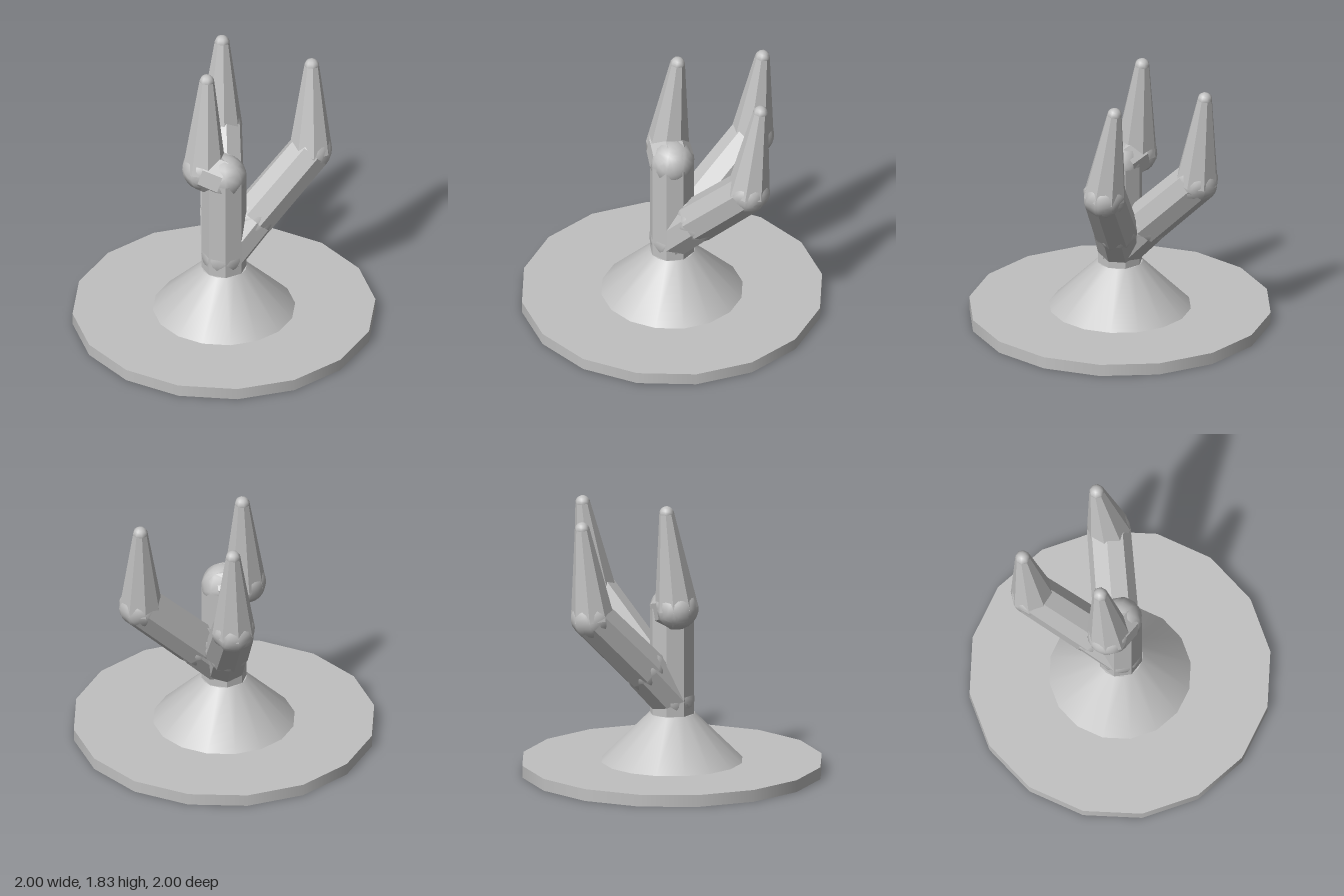
import * as THREE from 'three';
import { toCreasedNormals } from 'three/addons/utils/BufferGeometryUtils.js';

const SIDES = 8;

export function createModel() {
  const model = new THREE.Group();
  model.name = 'clawStand';
  const grey = new THREE.MeshStandardMaterial({ color: 0xc0c0c0 });
  grey.name = 'grey';

  const add = (parent, name, geometry) => {
    const mesh = new THREE.Mesh(geometry, grey);
    mesh.name = name;
    parent.add(mesh);
    return mesh;
  };

  // Faceted, tapered limb with smooth round ends, running from a to b
  const limb = (parent, name, a, b, ra, rb, twist = 0) => {
    const from = new THREE.Vector3(...a);
    const dir = new THREE.Vector3(...b).sub(from);
    const len = dir.length();
    const group = new THREE.Group();
    group.name = name;
    const shaft = new THREE.CylinderGeometry(rb, ra, len, SIDES, 1, true).translate(0, len / 2, 0);
    add(group, name + 'Shaft', toCreasedNormals(shaft, 0.4));
    // Turn the domes so their corners meet those of the shaft
    const dome = (r, start) =>
      new THREE.SphereGeometry(r, SIDES, 6, Math.PI / 2, Math.PI * 2, start, Math.PI / 2);
    add(group, name + 'TopDome', dome(rb, 0).translate(0, len, 0));
    add(group, name + 'BottomDome', dome(ra, Math.PI / 2));
    group.position.copy(from);
    group.quaternion.setFromUnitVectors(new THREE.Vector3(0, 1, 0), dir.normalize());
    group.rotateY(twist);
    parent.add(group);
  };

  // Base disc and cone
  add(model, 'baseDisc', new THREE.CylinderGeometry(1, 1, 0.08, 16).rotateY(0.015).translate(0, 0.04, 0));
  add(model, 'baseCone', new THREE.CylinderGeometry(0.15, 0.47, 0.32, 16).rotateY(0.015).translate(0, 0.24, 0));

  // Fingers: root, point part way along, knuckle and tip
  const fingers = [
    { name: 'frontFinger', root: [0, 0.4, 0], mid: [0, 1.1, 0], knuckle: [-0.12, 1.14, 0.06], tip: [-0.15, 1.78, 0] },
    { name: 'leftFinger', root: [0, 0.5, 0], mid: [0.08, 0.72, -0.2], knuckle: [0.25, 1.13, -0.58], tip: [0.2, 1.735, -0.65] },
    { name: 'rightFinger', root: [0, 0.5, 0], mid: [-0.14, 0.72, -0.15], knuckle: [-0.41, 1.11, -0.44], tip: [-0.45, 1.715, -0.5] },
  ];
  for (const { name, root, mid, knuckle, tip } of fingers) {
    const finger = new THREE.Group();
    finger.name = name;
    limb(finger, 'lowerBone', root, mid, 0.15, 0.15);
    limb(finger, 'middleBone', mid, knuckle, 0.15, 0.145, 0.2);
    limb(finger, 'claw', knuckle, tip, 0.145, 0.05, 0.1);
    model.add(finger);
  }
  return model;
}
